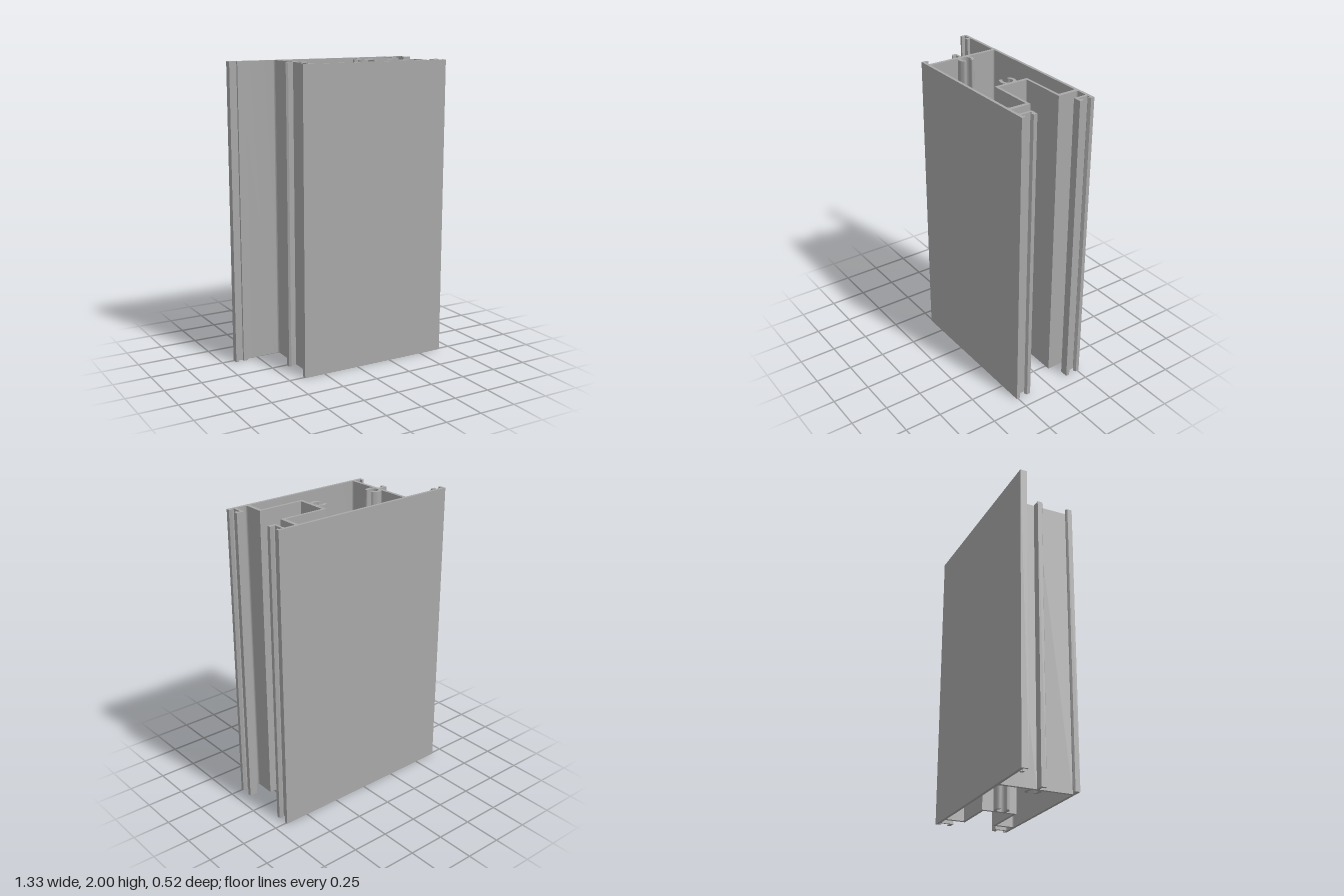
import * as THREE from 'three';
import { toCreasedNormals } from 'three/addons/utils/BufferGeometryUtils.js';

const LENGTH = 2;

// Front half of a section that is symmetric about z = 0
const mirrored = (pts) => pts.map(([x, z, r]) => [x, -z, r]).reverse();

// Replaces each corner [x, z, r] that has a radius by a short curve
function rounded(pts) {
  const out = [];
  pts.forEach(([x, z, r], i) => {
    const p = new THREE.Vector2(x, z);
    if (!r) return out.push(p);
    const toward = (q) => new THREE.Vector2(q[0], q[1]).sub(p).setLength(r).add(p);
    const a = toward(pts[(i + pts.length - 1) % pts.length]);
    const b = toward(pts[(i + 1) % pts.length]);
    out.push(...new THREE.QuadraticBezierCurve(a, p, b).getPoints(5));
  });
  return out;
}

// Back arm of a C-shaped screw boss, from the web along its inside, round the tip and back
function bossArm(faceX, dir) {
  const inner = 0.031, outer = 0.052, mid = (inner + outer) / 2, cap = (outer - inner) / 2;
  const tip = 45, cx = faceX + dir * 0.032;
  const pts = [];
  const add = (r, deg, ox = 0, oz = 0) => {
    const a = THREE.MathUtils.degToRad(deg);
    pts.push([cx + dir * (ox + r * Math.cos(a)), -(oz + r * Math.sin(a))]);
  };
  for (let i = 0; i <= 10; i++) add(inner, 172 + (tip - 172) * i / 10);
  const t = mid * Math.SQRT1_2;
  for (let i = 1; i < 8; i++) add(cap, tip - 180 + 180 * i / 8, t, t);
  for (let i = 0; i <= 8; i++) add(outer, tip + (128 - tip) * i / 8);
  return pts;
}

export function createModel() {
  const aluminium = new THREE.MeshStandardMaterial({ color: 0xa8a8a8 });
  aluminium.name = 'aluminium grey';

  // Right end: lip, hooked gasket groove and recessed channel
  const rightEnd = [
    [0.665, -0.26], [0.665, -0.236], [0.647, -0.226], [0.647, -0.241], [0.627, -0.241],
    [0.627, -0.173], [0.645, -0.173], [0.645, -0.187], [0.665, -0.178], [0.665, -0.153],
    [0.61, -0.153], [0.61, -0.241, 0.014], [0.535, -0.241, 0.014],
    [0.535, -0.102], [0.226, -0.102],
  ];
  // Short hook at the left end of the front wall
  const frontHook = [
    [-0.393, 0.26], [-0.393, 0.227], [-0.382, 0.218], [-0.373, 0.22], [-0.373, 0.241], [-0.333, 0.241],
  ];
  // Hook half way along the left web
  const middleHook = [
    [-0.333, 0.016], [-0.373, 0.016], [-0.373, 0.038], [-0.38, 0.041],
    [-0.393, 0.033], [-0.393, 0], [-0.333, 0],
  ];
  // T-shaped rib and end lip under the long back flange
  const backFlange = [
    [-0.333, -0.241, 0.016],
    [-0.592, -0.241], [-0.592, -0.228], [-0.58, -0.228], [-0.58, -0.213],
    [-0.61, -0.213], [-0.61, -0.228], [-0.602, -0.228], [-0.602, -0.241],
    [-0.654, -0.241], [-0.654, -0.228], [-0.648, -0.228], [-0.648, -0.213],
    [-0.665, -0.213], [-0.665, -0.26],
  ];
  const outline = [...rightEnd, ...mirrored(rightEnd), ...frontHook, ...middleHook, ...backFlange];

  // Hollow chamber with a screw boss on each side
  const chamberBack = [
    ...bossArm(-0.312, 1),
    [-0.312, -0.241, 0.012], [0.511, -0.241, 0.012], [0.511, -0.12], [0.205, -0.12],
    ...bossArm(0.205, -1).reverse(),
  ];
  const chamber = [...chamberBack, ...mirrored(chamberBack)];

  const section = new THREE.Shape(rounded(outline));
  section.holes.push(new THREE.Path(rounded(chamber)));

  // Extrude the section and stand it upright
  const extrusion = new THREE.ExtrudeGeometry(section, { depth: LENGTH, bevelEnabled: false });
  extrusion.rotateX(Math.PI / 2).translate(0, LENGTH, 0);

  const frame = new THREE.Mesh(toCreasedNormals(extrusion, 0.6), aluminium);
  frame.name = 'extrudedFrameProfile';

  const model = new THREE.Group();
  model.name = 'windowFrameSection';
  model.add(frame);
  return model;
}
